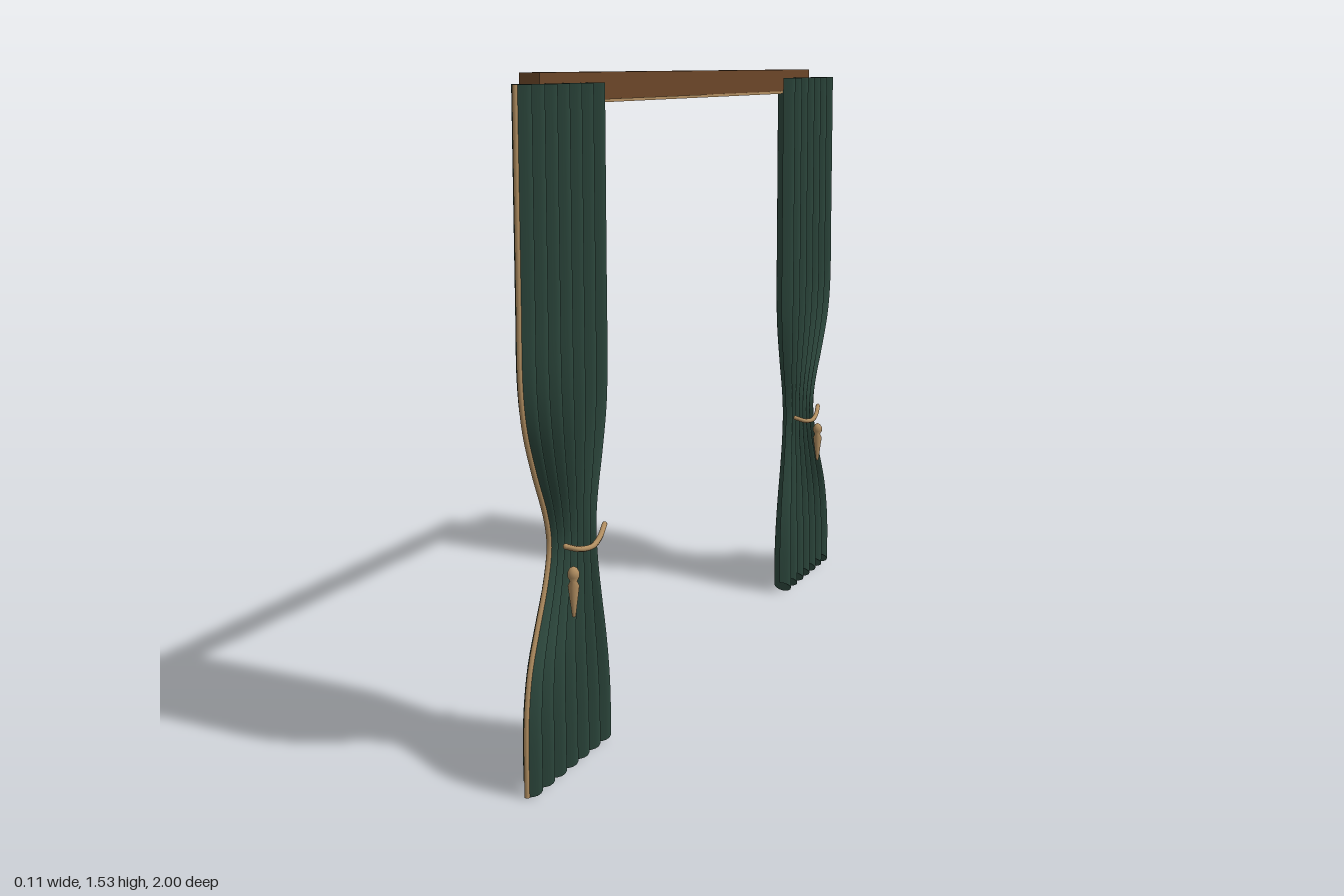
import * as THREE from 'three';

const fabric = new THREE.MeshStandardMaterial({ color: 0x2f4b40, side: THREE.DoubleSide });
fabric.name = 'greenFabric';
const wood = new THREE.MeshStandardMaterial({ color: 0x6b4628 });
wood.name = 'brownWood';
const cord = new THREE.MeshStandardMaterial({ color: 0xb08d60 });
cord.name = 'tanCord';

const TOP = 1.515, FOLDS = 6.5;

// Height, outer edge, inner edge and fold depth of a curtain tied at the waist
const outline = [
  [0, 0.994, 0.62, 0.031], [0.12, 0.994, 0.62, 0.031], [0.2, 0.988, 0.624, 0.029],
  [0.28, 0.97, 0.633, 0.026], [0.37, 0.93, 0.648, 0.022], [0.45, 0.893, 0.66, 0.019],
  [0.53, 0.873, 0.666, 0.018], [0.6, 0.888, 0.658, 0.019], [0.7, 0.936, 0.638, 0.024],
  [0.8, 0.976, 0.624, 0.029], [0.9, 0.993, 0.62, 0.031], [1.05, 0.994, 0.62, 0.031],
  [TOP, 0.994, 0.62, 0.031],
];

// Smooth cubic interpolation of one outline column at height y
function sample(y, col) {
  const n = outline.length;
  let i = 0;
  while (i < n - 2 && y > outline[i + 1][0]) i++;
  const slope = (k) => {
    const a = outline[Math.max(k - 1, 0)], b = outline[Math.min(k + 1, n - 1)];
    return (b[col] - a[col]) / (b[0] - a[0]);
  };
  const [p, q] = [outline[i], outline[i + 1]];
  const h = q[0] - p[0], t = THREE.MathUtils.clamp((y - p[0]) / h, 0, 1);
  const t2 = t * t, t3 = t2 * t;
  return (2 * t3 - 3 * t2 + 1) * p[col] + (t3 - 2 * t2 + t) * h * slope(i)
    + (3 * t2 - 2 * t3) * q[col] + (t3 - t2) * h * slope(i + 1);
}

// Point on the cloth: u runs from outer to inner edge, v from hem to top
function clothPoint(u, v, side) {
  const phase = u * FOLDS * Math.PI * 2;
  const hem = 0.02 - 0.016 * Math.cos(phase);
  const y = Math.max(hem, TOP * v + hem * Math.max(0, 1 - v * 20));
  const z = THREE.MathUtils.lerp(sample(y, 1), sample(y, 2), u);
  return new THREE.Vector3(sample(y, 3) * Math.sin(phase), y, side * z);
}

function pleatedCloth(side) {
  const cols = 104, rows = 60;
  const geo = new THREE.PlaneGeometry(1, 1, cols, rows);
  const pos = geo.attributes.position, uv = geo.attributes.uv;
  for (let i = 0; i < pos.count; i++) {
    const u = side > 0 ? uv.getX(i) : 1 - uv.getX(i);
    const p = clothPoint(u, uv.getY(i), side);
    pos.setXYZ(i, p.x, p.y, p.z);
  }
  geo.computeVertexNormals();
  return geo;
}

function add(parent, name, geometry, material) {
  const mesh = new THREE.Mesh(geometry, material);
  mesh.name = name;
  parent.add(mesh);
  return mesh;
}

function makeCurtain(side) {
  const g = new THREE.Group();
  g.name = side > 0 ? 'frontCurtain' : 'backCurtain';
  add(g, 'pleatedCloth', pleatedCloth(side), fabric);

  // Trim cord along the outer edge
  const edge = [];
  for (let i = 0; i <= 40; i++) {
    const y = 0.004 + (TOP - 0.004) * i / 40;
    edge.push(new THREE.Vector3(0, y, side * sample(y, 1)));
  }
  add(g, 'edgeTrim', new THREE.TubeGeometry(new THREE.CatmullRomCurve3(edge), 80, 0.006, 8), cord);

  // Tieback swagged across the waist
  const swag = new THREE.CatmullRomCurve3([
    [0.034, 0.53, 0.862], [0.044, 0.513, 0.815], [0.049, 0.506, 0.76],
    [0.043, 0.513, 0.71], [0.032, 0.53, 0.66],
  ].map(([x, y, z]) => new THREE.Vector3(x, y, side * z)));
  add(g, 'tieback', new THREE.TubeGeometry(swag, 32, 0.0065, 8), cord);
  for (const t of [0, 1]) {
    add(g, 'tiebackEnd', new THREE.SphereGeometry(0.0065, 8, 6), cord).position.copy(swag.getPoint(t));
  }

  // Hanging tassel
  const profile = [[0, 0.365], [0.004, 0.368], [0.013, 0.437], [0.008, 0.447],
    [0.013, 0.457], [0.013, 0.468], [0.008, 0.477], [0, 0.481]];
  const tassel = new THREE.LatheGeometry(profile.map(([r, y]) => new THREE.Vector2(r, y)), 16);
  add(g, 'tassel', tassel, cord).position.set(0.041, 0, side * 0.84);
  return g;
}

export function createModel() {
  const model = new THREE.Group();
  model.name = 'curtains';

  // Pelmet rail with a thin strip along its lower front edge
  add(model, 'rail', new THREE.BoxGeometry(0.047, 0.062, 1.74), wood).position.set(-0.0315, 1.507, 0);
  add(model, 'railStrip', new THREE.BoxGeometry(0.008, 0.007, 1.73), cord).position.set(-0.0105, 1.4745, 0);

  for (const side of [1, -1]) model.add(makeCurtain(side));
  return model;
}
